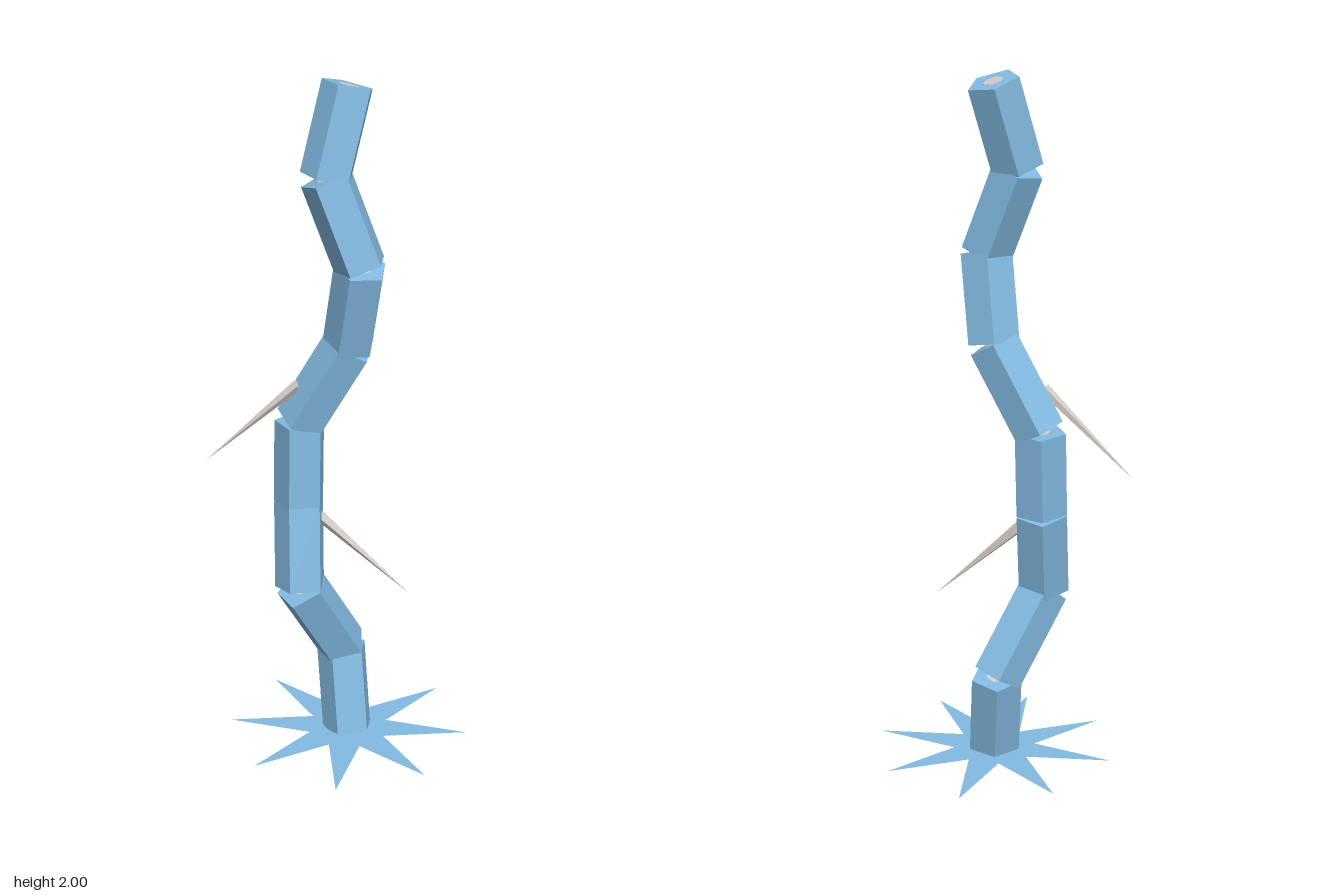
import * as THREE from 'three';

export function createModel() {
  const group = new THREE.Group();
  const blue = new THREE.MeshStandardMaterial({ color: 0x82bae1, flatShading: true });
  blue.name = 'blue bark';
  const blueSheet = new THREE.MeshStandardMaterial({ color: 0x82bae1, side: THREE.DoubleSide });
  blueSheet.name = 'blue bark sheet';
  const grey = new THREE.MeshStandardMaterial({ color: 0xd3cbc6, flatShading: true });
  grey.name = 'pale wood';

  const up = new THREE.Vector3(0, 1, 0);

  // Tapered prism standing between two points
  function strut(name, a, b, r0, r1, sides, turn, material, extra = 0) {
    const dir = b.clone().sub(a);
    const geo = new THREE.CylinderGeometry(r1, r0, dir.length() + extra, sides);
    geo.rotateY(turn);
    const mesh = new THREE.Mesh(geo, material);
    mesh.name = name;
    mesh.position.copy(a).add(b).multiplyScalar(0.5);
    mesh.quaternion.setFromUnitVectors(up, dir.normalize());
    group.add(mesh);
  }

  // Crooked trunk: five-sided logs stacked along the joints, each with a core
  const joints = [
    [0.03, 0.016, 0], [0.008, 0.262, -0.048], [-0.1, 0.51, 0.062],
    [-0.107, 0.757, 0.012], [-0.105, 1.003, 0], [0.033, 1.247, 0.013],
    [0.07, 1.494, 0.064], [-0.024, 1.74, 0.05], [0.03, 1.985, 0],
  ].map((p) => new THREE.Vector3(...p));
  for (let i = 0; i < joints.length - 1; i++) {
    strut('trunkSegment' + (i + 1), joints[i], joints[i + 1], 0.075, 0.075, 5, -Math.PI / 2, blue);
    strut('trunkCore' + (i + 1), joints[i], joints[i + 1], 0.03, 0.03, 6, 0, grey, 0.001);
  }

  // Drooping thorns
  const thorns = [
    ['rightThorn', [-0.11, 1.125, 0.02], [-0.372, 0.88, 0.02]],
    ['leftThorn', [-0.055, 0.72, 0.012], [0.205, 0.478, 0.008]],
  ];
  for (const [name, base, tip] of thorns) {
    strut(name, new THREE.Vector3(...base), new THREE.Vector3(...tip), 0.017, 0, 5, 0, grey);
  }

  // Flat eight-pointed root star
  const star = new THREE.Shape();
  for (let i = 0; i < 16; i++) {
    const r = i % 2 ? 0.118 : 0.349;
    const a = (i * Math.PI) / 8;
    star[i ? 'lineTo' : 'moveTo'](r * Math.cos(a), r * Math.sin(a));
  }
  const roots = new THREE.Mesh(new THREE.ShapeGeometry(star).rotateX(-Math.PI / 2), blueSheet);
  roots.name = 'rootStar';
  roots.position.set(0.029, 0.016, 0);
  group.add(roots);

  return group;
}
